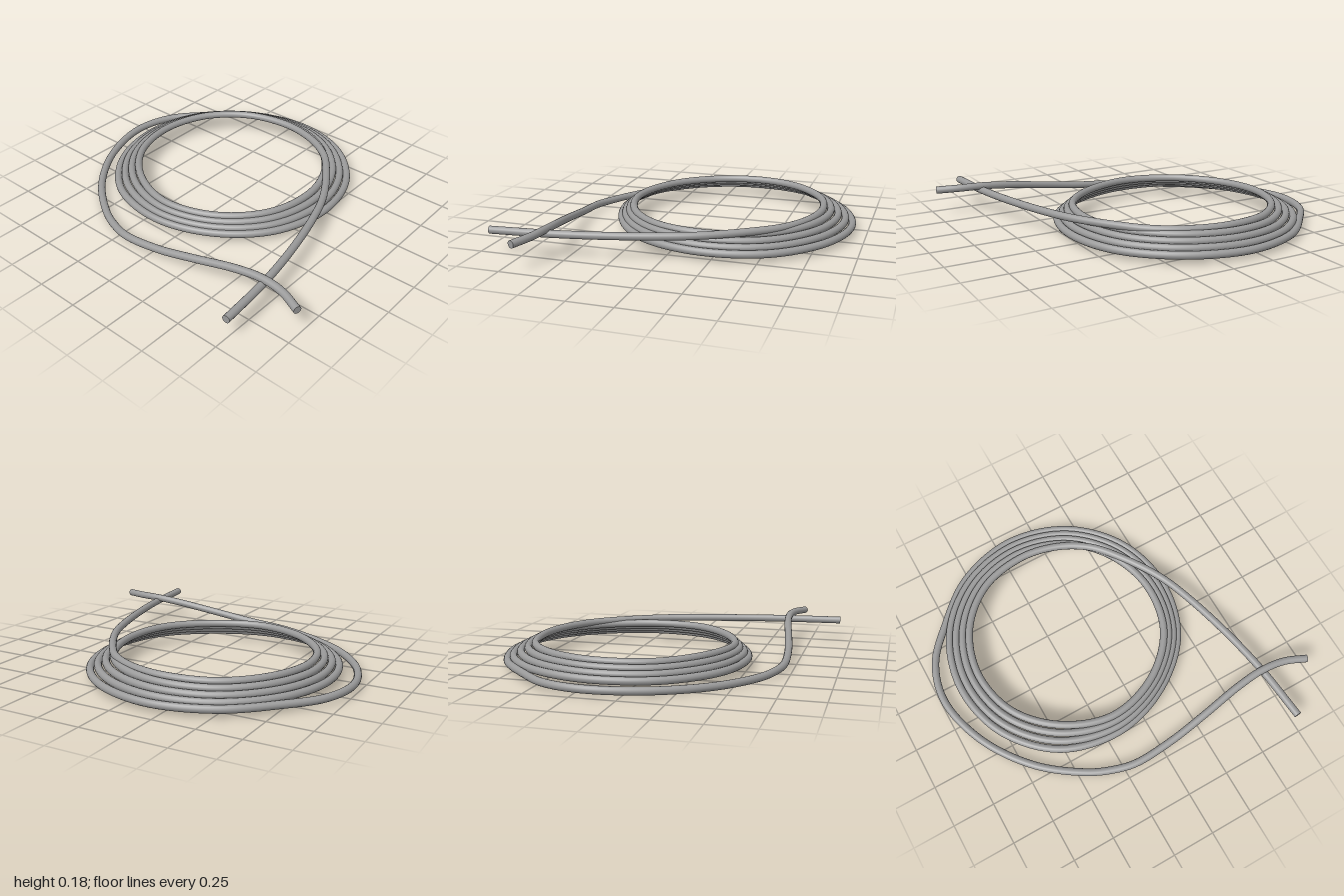
import * as THREE from 'three';

const RADIUS = 0.022;
const CENTER = { x: 0.2, z: -0.165 };
// coil radius every 30 degrees, for the lowest and the highest turn
const OUTER = [0.711, 0.707, 0.702, 0.693, 0.69, 0.677, 0.695, 0.714, 0.705, 0.692, 0.684, 0.674];
const INNER = [0.578, 0.572, 0.57, 0.582, 0.602, 0.604, 0.61, 0.588, 0.58, 0.567, 0.556, 0.548];
const TURNS = 4;

function ropePath() {
  const points = [];
  const add = (list) => list.forEach((p) => points.push(new THREE.Vector3(...p)));

  // loose outer end: comes down from the crossing and sweeps round the back
  add([
    [-0.675, 0.153, 0.988], [-0.625, 0.16, 0.86], [-0.608, 0.16, 0.72], [-0.62, 0.142, 0.55],
    [-0.66, 0.1, 0.3], [-0.692, 0.06, 0.06], [-0.7, 0.036, -0.18], [-0.668, 0.027, -0.31],
    [-0.605, 0.023, -0.45], [-0.42, 0.026, -0.695], [-0.14, 0.034, -0.893], [0.17, 0.042, -0.977],
    [0.41, 0.043, -0.922], [0.6, 0.043, -0.767], [0.817, 0.043, -0.515],
  ]);

  // stacked coil, each turn narrower and higher than the one below, slightly uneven
  for (let i = 0; i < TURNS * 12; i++) {
    const k = Math.floor(i / 12), s = i % 12, a = (s * Math.PI) / 6;
    const r = THREE.MathUtils.lerp(OUTER[s], INNER[s], k / (TURNS - 1));
    const y = 0.045 + (0.0225 * i) / 12 + 0.002 * Math.sin(i * 2.1);
    points.push(new THREE.Vector3(CENTER.x + r * Math.cos(a), y, CENTER.z + r * Math.sin(a)));
  }

  // loose inner end: crosses over the coil and runs out straight
  add([
    [0.737, 0.134, -0.165], [0.695, 0.135, 0.06], [0.59, 0.136, 0.24], [0.43, 0.137, 0.375],
    [0.2, 0.137, 0.515], [0, 0.136, 0.59], [-0.3, 0.135, 0.67], [-0.6, 0.135, 0.725],
    [-0.932, 0.135, 0.757],
  ]);
  return new THREE.CatmullRomCurve3(points, false, 'centripetal');
}

export function createModel() {
  const group = new THREE.Group();
  group.name = 'coiledRope';
  const material = new THREE.MeshStandardMaterial({ color: 0x9a9a9a });
  const path = ropePath();

  const rope = new THREE.Mesh(new THREE.TubeGeometry(path, 800, RADIUS, 16, false), material);
  rope.name = 'rope';
  group.add(rope);

  // flat cut ends
  [['outerEndCap', 0, -1], ['innerEndCap', 1, 1]].forEach(([name, t, dir]) => {
    const cap = new THREE.Mesh(new THREE.CircleGeometry(RADIUS, 16), material);
    cap.name = name;
    cap.position.copy(path.getPointAt(t));
    cap.quaternion.setFromUnitVectors(
      new THREE.Vector3(0, 0, 1), path.getTangentAt(t).multiplyScalar(dir).normalize());
    group.add(cap);
  });
  return group;
}
